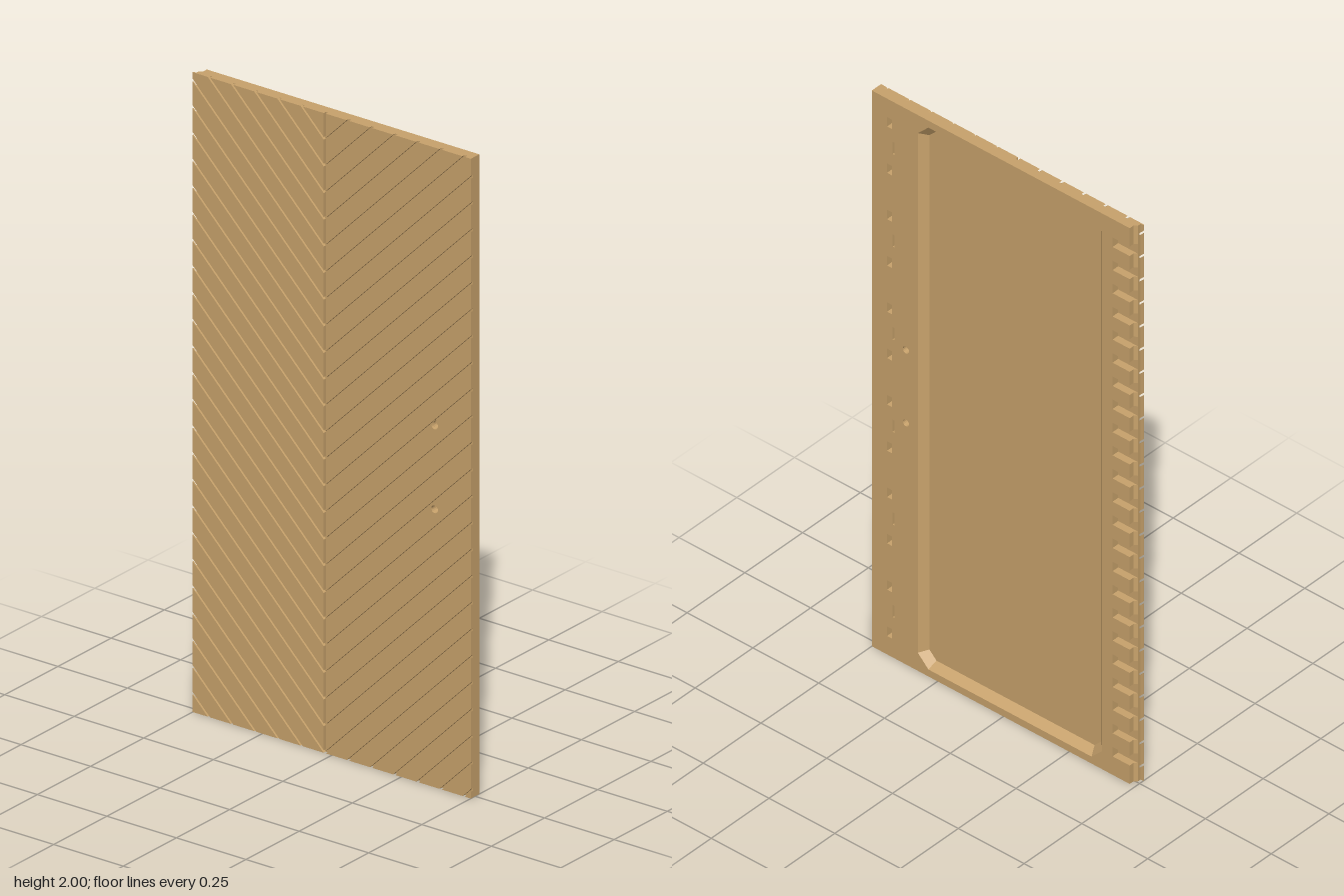
import * as THREE from 'three';

const wood = new THREE.MeshStandardMaterial({ color: 0xc9a36c });
wood.name = 'oak';

const CX = -0.025;            // chevron centre line
const PITCH = 1 / 12;         // spacing of grooves and slots
const GAP = 0.003;            // half width of a groove
const DRILL = [[0.37, 1.131], [0.37, 0.869]];
const DRILL_R = 0.012;
const Z_BACK = -0.02, Z_POCKET = 0.004, Z_GROOVE = 0.01, Z_LIP = 0.016, Z_FRONT = 0.02;

const toShape = (pts) => new THREE.Shape(pts.map(([x, y]) => new THREE.Vector2(x, y)));
const toPath = (pts) => new THREE.Path(pts.map(([x, y]) => new THREE.Vector2(x, y)));
const rect = (x0, y0, x1, y1) => [[x0, y0], [x1, y0], [x1, y1], [x0, y1]];

function circle([cx, cy], r, n = 16) {
  return Array.from({ length: n }, (_, i) => {
    const a = (i / n) * Math.PI * 2;
    return [cx + r * Math.cos(a), cy + r * Math.sin(a)];
  });
}

// Extrudes a flat shape between two z levels
function slab(name, shape, z0, z1) {
  const geo = new THREE.ExtrudeGeometry(shape, { depth: z1 - z0, bevelEnabled: false });
  geo.translate(0, 0, z0);
  const mesh = new THREE.Mesh(geo, wood);
  mesh.name = name;
  return mesh;
}

// Keeps the part of a convex polygon where a*x + b*y <= c
function clip(poly, a, b, c) {
  const out = [];
  poly.forEach((p, i) => {
    const q = poly[(i + 1) % poly.length];
    const dp = a * p[0] + b * p[1] - c, dq = a * q[0] + b * q[1] - c;
    if (dp <= 0) out.push(p);
    if (dp * dq < 0) {
      const t = dp / (dp - dq);
      out.push([p[0] + t * (q[0] - p[0]), p[1] + t * (q[1] - p[1])]);
    }
  });
  return out;
}

// Cuts the drilled holes out of a plank, as a hole or as a notch in its edge
function drillPlank(poly) {
  const holes = [];
  let pts = poly;
  for (const c of DRILL) {
    let inside = true, notch = null;
    poly.forEach((p, i) => {
      const q = poly[(i + 1) % poly.length];
      const dx = q[0] - p[0], dy = q[1] - p[1], len = Math.hypot(dx, dy);
      const h = (dx * (c[1] - p[1]) - dy * (c[0] - p[0])) / len;
      if (h < 0) inside = false;
      else if (h < DRILL_R) notch = { i, h, phi: Math.atan2(-dx, dy) };
    });
    if (!inside) continue;
    if (!notch) { holes.push(toPath(circle(c, DRILL_R))); continue; }
    const a = Math.acos(notch.h / DRILL_R);
    const arc = Array.from({ length: 13 }, (_, k) => {
      const t = notch.phi - a - (k / 12) * (2 * Math.PI - 2 * a);
      return [c[0] + DRILL_R * Math.cos(t), c[1] + DRILL_R * Math.sin(t)];
    });
    pts = [...poly.slice(0, notch.i + 1), ...arc, ...poly.slice(notch.i + 1)];
  }
  const shape = toShape(pts);
  shape.holes.push(...holes);
  return shape;
}

// One slanted plank; side is +1 or -1, u is the distance from the centre line
function plankShape(side, k, uMax) {
  const e = GAP * Math.SQRT2;
  let poly = rect(0.004, 0, uMax, 2);
  poly = clip(poly, 1, -1, -(k * PITCH + e));
  poly = clip(poly, -1, 1, (k + 1) * PITCH - e);
  if (poly.length < 3) return null;
  poly = poly.map(([u, y]) => [CX + side * u, y]);
  if (side < 0) poly.reverse();
  return drillPlank(poly);
}

// Rectangle with cut corners, for the back recess
function octagon(hx, hy, c) {
  return [[hx, -hy + c], [hx, hy - c], [hx - c, hy], [-hx + c, hy],
    [-hx, hy - c], [-hx, -hy + c], [-hx + c, -hy], [hx - c, -hy]]
    .map(([x, y]) => [x + CX, y + 1]);
}

export function createModel() {
  const group = new THREE.Group();
  group.name = 'chevronPanel';

  // Chevron planks, with a thin lip overhanging the right edge
  const planks = new THREE.Group();
  planks.name = 'chevronPlanks';
  for (const side of [1, -1]) {
    for (let k = -7; k < 24; k++) {
      const layers = side > 0
        ? [[0.525, Z_GROOVE, Z_FRONT]]
        : [[0.465, Z_GROOVE, Z_LIP], [0.475, Z_LIP, Z_FRONT]];
      for (const [uMax, z0, z1] of layers) {
        const shape = plankShape(side, k, uMax);
        if (shape) planks.add(slab('plank', shape, z0, z1));
      }
    }
  }
  group.add(planks);

  // Core sheet, the floor of grooves and recesses
  const core = toShape(rect(-0.49, 0, 0.5, 2));
  DRILL.forEach((c) => core.holes.push(toPath(circle(c, DRILL_R))));
  group.add(slab('coreSheet', core, Z_POCKET, Z_GROOVE));

  // Back frame, with open slots along one edge
  const outline = [[-0.48, 0], [0.5, 0], [0.5, 2], [-0.48, 2]];
  for (let i = 23; i >= 1; i--) {
    const y = i * PITCH, h = 0.017;
    outline.push([-0.48, y + h], [-0.415, y + h], [-0.415, y - h], [-0.48, y - h]);
  }
  const back = toShape(outline);
  const outer = octagon(0.35, 0.975, 0.04);
  back.holes.push(toPath(outer));
  DRILL.forEach((c) => back.holes.push(toPath(circle(c, DRILL_R))));
  for (let i = 0; i < 12; i++) {
    const y = (i + 0.5) / 6;
    back.holes.push(toPath(rect(0.424, y - 0.017, 0.442, y + 0.017)));
  }
  for (let i = 0; i < 6; i++) {
    const y = 1 / 6 + i / 3;
    back.holes.push(toPath(rect(0.414, y - 0.022, 0.421, y + 0.022)));
  }
  group.add(slab('backFrame', back, Z_BACK, Z_POCKET));

  // Sloping walls of the back recess
  const w = 0.023;
  const inner = octagon(0.35 - w, 0.975 - w, 0.04 - w * (2 - Math.SQRT2));
  const pos = [];
  outer.forEach((o, i) => {
    const j = (i + 1) % outer.length;
    const oi = [...o, Z_BACK], oj = [...outer[j], Z_BACK];
    const ni = [...inner[i], Z_POCKET], nj = [...inner[j], Z_POCKET];
    pos.push(...oi, ...ni, ...oj, ...oj, ...ni, ...nj);
  });
  const wallGeo = new THREE.BufferGeometry();
  wallGeo.setAttribute('position', new THREE.Float32BufferAttribute(pos, 3));
  wallGeo.computeVertexNormals();
  const walls = new THREE.Mesh(wallGeo, wood);
  walls.name = 'recessWalls';
  group.add(walls);

  // Chamfer under the lip, between the slots
  for (let i = 0; i < 24; i++) {
    const y0 = i === 0 ? 0 : i * PITCH + 0.017;
    const y1 = i === 23 ? 2 : (i + 1) * PITCH - 0.017;
    const tri = toShape([[-0.48, 0.004], [-0.48, -0.004], [-0.49, 0.004]].map(([x, z]) => [x, -z]));
    const geo = new THREE.ExtrudeGeometry(tri, { depth: y1 - y0, bevelEnabled: false });
    geo.rotateX(-Math.PI / 2).translate(0, y0, 0);
    const mesh = new THREE.Mesh(geo, wood);
    mesh.name = 'edgeChamfer';
    group.add(mesh);
  }
  return group;
}
